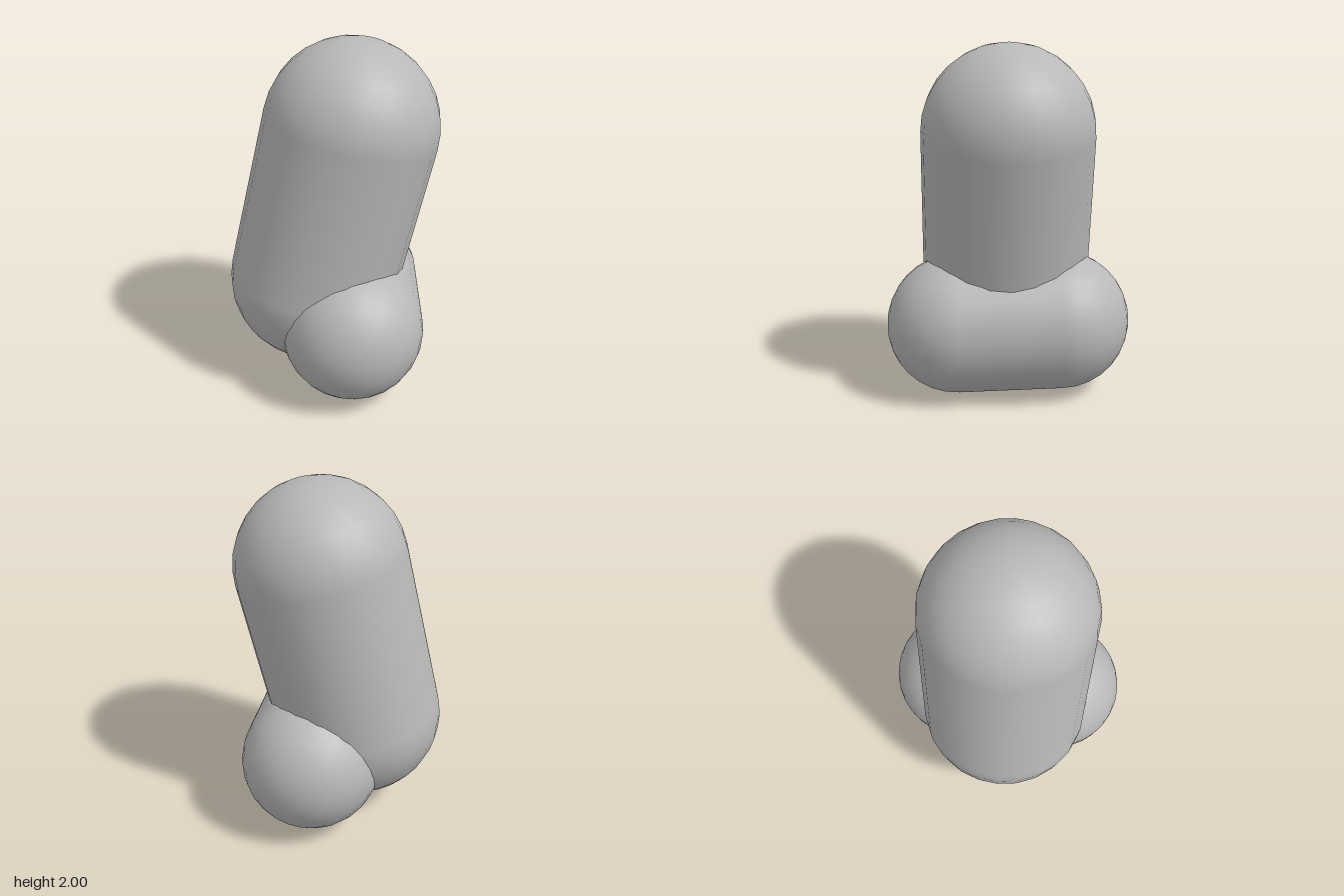
import * as THREE from 'three';

const UP = new THREE.Vector3(0, 1, 0);

// Capsule whose end-cap centres sit at a and b
function capsule(name, a, b, radius, material) {
  const start = new THREE.Vector3(...a);
  const end = new THREE.Vector3(...b);
  const axis = end.clone().sub(start);
  const mesh = new THREE.Mesh(new THREE.CapsuleGeometry(radius, axis.length(), 8, 24), material);
  mesh.position.copy(start).add(end).multiplyScalar(0.5);
  mesh.quaternion.setFromUnitVectors(UP, axis.normalize());
  mesh.name = name;
  return mesh;
}

export function createModel() {
  const group = new THREE.Group();
  group.name = 'capsulePair';
  const grey = new THREE.MeshStandardMaterial({ color: 0xb8b8b8 });
  grey.name = 'grey';

  // Tall leaning body
  group.add(capsule('uprightCapsule', [-0.125, 0.585, 0.11], [0.06, 1.513, 0], 0.487, grey));
  // Short capsule lying across the base
  group.add(capsule('lyingCapsule', [-0.07, 0.415, -0.26], [0.207, 0.403, 0.26], 0.402, grey));
  return group;
}
